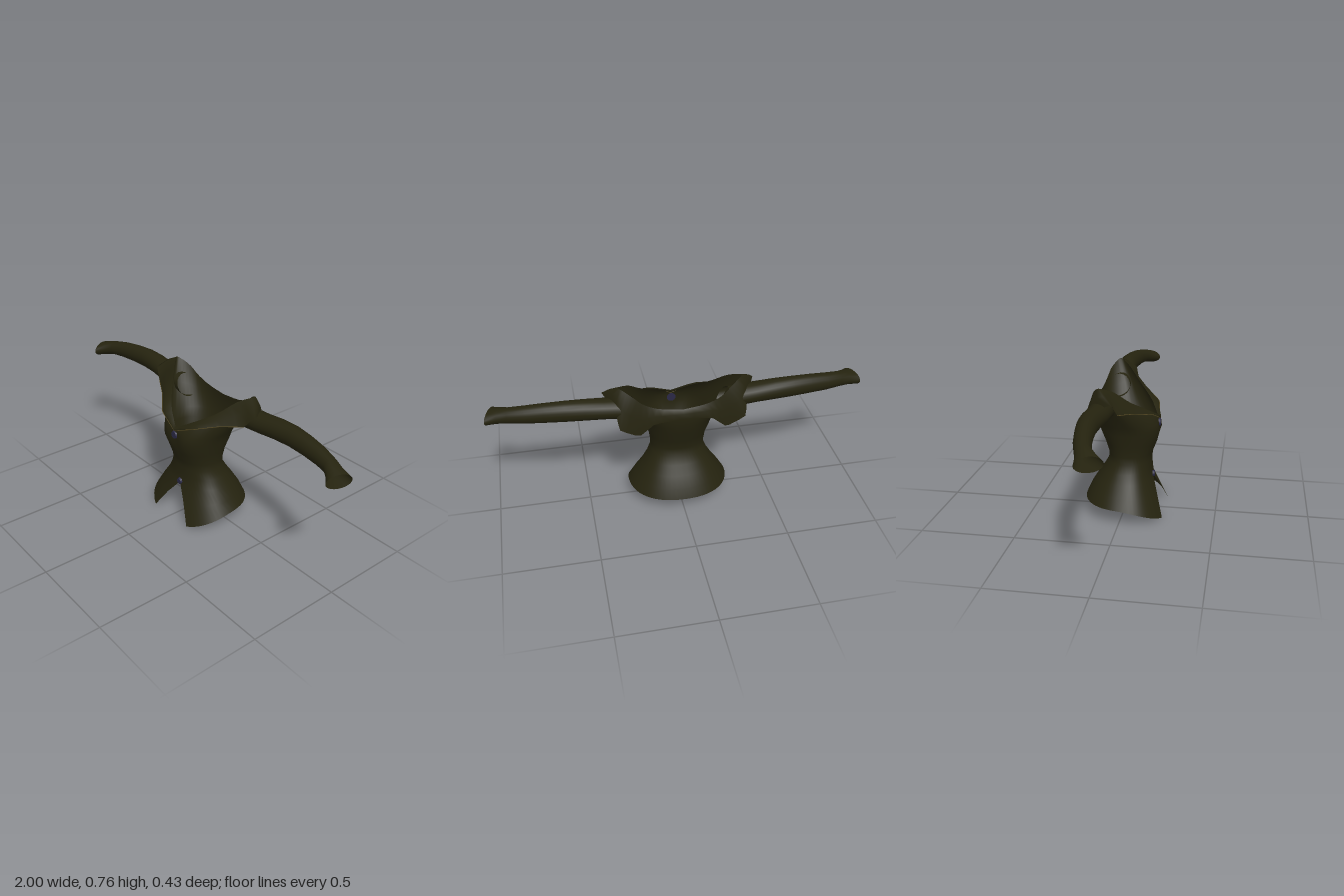
import * as THREE from 'three';
import { mergeVertices } from 'three/addons/utils/BufferGeometryUtils.js';

const V = (x, y, z) => new THREE.Vector3(x, y, z);
const N = 48; // stations around the body

// Smooth surface through rows of equally many points
function loft(rows) {
  const n = rows[0].length, pos = [], idx = [];
  rows.forEach(r => r.forEach(p => pos.push(p.x, p.y, p.z)));
  for (let i = 0; i < rows.length - 1; i++) {
    for (let j = 0; j < n - 1; j++) {
      const a = i * n + j, b = a + 1, c = a + n, d = c + 1;
      idx.push(a, b, c, b, d, c);
    }
  }
  let g = new THREE.BufferGeometry();
  g.setAttribute('position', new THREE.Float32BufferAttribute(pos, 3));
  g.setIndex(idx);
  g = mergeVertices(g, 1e-4);
  g.computeVertexNormals();
  return g;
}

// Closed symmetric edge from a half path running front to back
function mirroredEdge(half, tension) {
  const curve = new THREE.CatmullRomCurve3(half, false, 'catmullrom', tension);
  return Array.from({ length: N + 1 }, (_, j) => {
    const u = j / N * 2, p = curve.getPoint(u <= 1 ? u : 2 - u);
    if (u > 1) p.x *= -1;
    return p;
  });
}

// Collar fold line and free edge, front centre to back centre
const foldPath = [
  V(0, .545, .172), V(.1, .605, .122), V(.19, .665, .05), V(.26, .735, -.02), V(.32, .768, -.08),
  V(.295, .755, -.105), V(.25, .725, -.128), V(.2, .685, -.14), V(.12, .655, -.148), V(0, .64, -.152)];
const edgePath = [
  V(0, .53, .183), V(.13, .585, .162), V(.24, .62, .08), V(.355, .645, .015), V(.403, .71, -.01),
  V(.345, .65, -.125), V(.33, .56, -.16), V(.23, .508, -.158), V(.15, .575, -.164), V(0, .59, -.168)];

// Body rows: y, half width, front z, back z, half gap at the front, middle z
const bodyRows = [
  [0, .275, .24, -.215, .14, .03],
  [.1, .24, .187, -.19, .07, .02],
  [.2, .2, .15, -.155, 0, .01],
  [.25, .17, .145, -.12, 0, .01],
  [.3, .148, .142, -.092, 0, .02],
  [.34, .147, .147, -.087, 0, .02],
  [.4, .155, .17, -.105, 0, .02],
  [.47, .175, .197, -.132, 0, .01],
  [.52, .188, .19, -.145, 0, 0]];

function bodyRing([y, w, zf, zb, gap, zc], i) {
  const p = .88, start = Math.asin(Math.pow(gap / w, 1 / p));
  return Array.from({ length: N + 1 }, (_, j) => {
    const t = start + (2 * Math.PI - 2 * start) * j / N;
    const s = j === N && !gap ? 0 : Math.sin(t), c = Math.cos(t);
    const x = w * Math.sign(s) * Math.pow(Math.abs(s), p);
    let z = zc + (c > 0 ? zf - zc : zb - zc) * Math.pow(Math.abs(c), p);
    // shallow hollow between the chest curves
    if (c > 0 && y > .42) z -= .014 * Math.exp(-((x / .045) ** 2));
    // hem drops toward the front points
    const hem = .088 - .083 * Math.pow(Math.max(0, (z + .05) / .27), 2.2);
    return V(x, i < 2 ? THREE.MathUtils.lerp(hem, .2, i / 2) : y, z);
  });
}

function bodyGeometry() {
  const rows = bodyRows.map(bodyRing);
  const top = rows[rows.length - 1], neck = mirroredEdge(foldPath, .5);
  rows.push(top.map((p, j) => {
    const m = p.clone().lerp(neck[j], .5), l = Math.hypot(m.x, m.z);
    return V(m.x * (1 + .01 / l), m.y, m.z * (1 + .01 / l));
  }), neck);
  return loft(rows);
}

function collarGeometry() {
  const fold = mirroredEdge(foldPath, .5), edge = mirroredEdge(edgePath, .15);
  const middle = edge.map((p, j) => {
    const m = p.clone().lerp(fold[j], .55), l = Math.hypot(m.x, m.z);
    return V(m.x * (1 + .012 / l), m.y + .004, m.z * (1 + .012 / l));
  });
  return loft([edge, middle, fold]);
}

// Sleeve rings: x, y, z, vertical radius, depth radius, lean with y, lean with z
const sleeveRings = [
  [.225, .635, -.08, .058, .064, .55, 0],
  [.31, .645, -.08, .055, .062, .2, 0],
  [.4, .652, -.08, .053, .06, 0, 0],
  [.5, .661, -.085, .055, .055, 0, 0],
  [.6, .665, -.085, .055, .05, 0, 0],
  [.7, .663, -.076, .052, .046, 0, 0],
  [.8, .657, -.062, .047, .043, 0, 0],
  [.88, .65, -.042, .041, .04, 0, -.1],
  [.93, .64, -.018, .039, .047, 0, -.25],
  [.975, .629, .002, .037, .062, 0, -.4]];

function sleeveGeometry(side) {
  return loft(sleeveRings.map(([x, y, z, ry, rz, ly, lz]) =>
    Array.from({ length: 21 }, (_, j) => {
      const a = side * j / 20 * Math.PI * 2;
      const dy = ry * Math.cos(a), dz = rz * Math.sin(a);
      return V(side * (x + ly * dy + lz * dz), y + dy, z + dz);
    })));
}

export function createModel() {
  const group = new THREE.Group();
  const material = (name, color) => {
    const m = new THREE.MeshStandardMaterial({ color, side: THREE.DoubleSide });
    m.name = name;
    return m;
  };
  const cloth = material('dark olive cloth', 0x25230f);
  const buttonBlue = material('dark blue button', 0x2a2845);
  const gold = material('dull gold trim', 0x5a4d26);
  const add = (name, geometry, mat) => {
    const mesh = new THREE.Mesh(geometry, mat);
    mesh.name = name;
    group.add(mesh);
    return mesh;
  };

  add('body', bodyGeometry(), cloth);
  add('collar', collarGeometry(), cloth);

  for (const side of [1, -1]) {
    const label = side > 0 ? 'left' : 'right';
    add(label + 'Sleeve', sleeveGeometry(side), cloth);
    // fine piping along the lapel edge
    const path = edgePath.slice(0, 4).map(p => V(p.x * side, p.y, p.z));
    const curve = new THREE.CatmullRomCurve3(path, false, 'catmullrom', .15);
    add(label + 'LapelTrim', new THREE.TubeGeometry(curve, 24, .0018, 5), gold);
  }

  // chest and waist buttons
  for (const [name, y, z, r] of [['chestButton', .505, .181, .025], ['waistButton', .205, .152, .02]]) {
    const button = add(name, new THREE.CylinderGeometry(r * .8, r, .014, 16), buttonBlue);
    button.rotation.x = Math.PI / 2;
    button.position.set(0, y, z);
  }
  return group;
}
